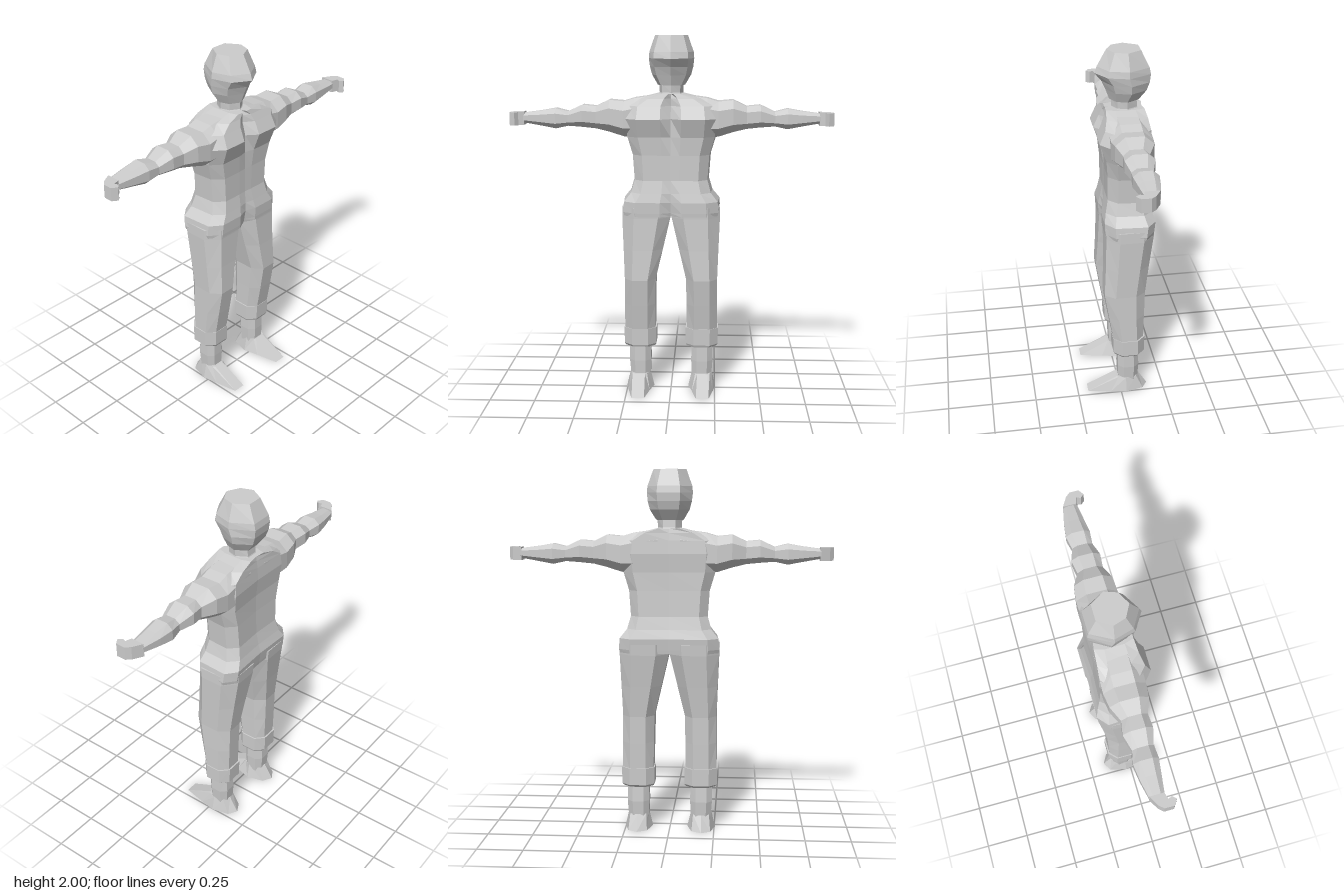
import * as THREE from 'three';

const grey = new THREE.MeshStandardMaterial({ color: 0xcccccc, flatShading: true });
grey.name = 'plain grey';

// Skin a closed surface through rings of [x, y, z] points, facing outward.
function loft(rings) {
  const n = rings[0].length, tris = [];
  const mid = (r) => [0, 1, 2].map((k) => r.reduce((s, p) => s + p[k], 0) / n);
  for (let i = 0; i < rings.length - 1; i++) {
    for (let j = 0; j < n; j++) {
      const k = (j + 1) % n;
      const a = rings[i][j], b = rings[i][k], c = rings[i + 1][k], d = rings[i + 1][j];
      tris.push([a, b, c], [a, c, d]);
    }
  }
  const first = rings[0], last = rings[rings.length - 1];
  for (let j = 0; j < n; j++) {
    const k = (j + 1) % n;
    tris.push([mid(first), first[k], first[j]], [mid(last), last[j], last[k]]);
  }
  let volume = 0;
  const v = () => new THREE.Vector3();
  for (const [a, b, c] of tris) volume += v().fromArray(a).dot(v().fromArray(b).cross(v().fromArray(c)));
  if (volume < 0) tris.forEach((t) => t.reverse());
  const geo = new THREE.BufferGeometry();
  geo.setAttribute('position', new THREE.Float32BufferAttribute(tris.flat(2), 3));
  geo.computeVertexNormals();
  return geo;
}

// Rectangle with cut corners between (a0, b0) and (a1, b1).
function cutBox(a0, a1, b0, b1, cut = 0.25) {
  const ca = (a1 - a0) * cut, cb = (b1 - b0) * cut;
  return [[a1, b0 + cb], [a1, b1 - cb], [a1 - ca, b1], [a0 + ca, b1],
    [a0, b1 - cb], [a0, b0 + cb], [a0 + ca, b0], [a1 - ca, b0]];
}

// Rows [y, x0, x1, z0, z1] become level rings.
const levelRings = (rows, cut) => rows.map(([y, x0, x1, z0, z1]) =>
  cutBox(x0, x1, z0, z1, cut).map(([x, z]) => [x, y, z]));

// Half outline [x, z] from front centre to back, mirrored over z = 0.
function symmetric(y, half) {
  const other = half.filter((p) => p[1] > 0).reverse().map(([x, z]) => [x, -z]);
  return [...half, ...other].map(([x, z]) => [x, y, z]);
}

export function createModel() {
  const model = new THREE.Group();
  const add = (name, rings) => {
    const mesh = new THREE.Mesh(loft(rings), grey);
    mesh.name = name;
    model.add(mesh);
  };
  const addPair = (name, rings) => {
    add(name + 'Left', rings);
    add(name + 'Right', rings.map((r) => r.map(([x, y, z]) => [x, y, -z])));
  };

  // Torso: [y, half width, front centre x, chest x, back x]
  add('torso', [
    [1.01, 0.27, 0.05, 0.08, -0.18],
    [1.03, 0.275, 0.055, 0.082, -0.183],
    [1.09, 0.27, 0.065, 0.085, -0.19],
    [1.14, 0.23, 0.065, 0.075, -0.175],
    [1.21, 0.21, 0.06, 0.062, -0.16],
    [1.35, 0.22, 0.06, 0.063, -0.155],
    [1.45, 0.25, 0.06, 0.072, -0.155],
    [1.55, 0.26, 0.06, 0.108, -0.165],
    [1.62, 0.25, 0.04, 0.078, -0.16],
    [1.66, 0.17, 0.04, 0.062, -0.155],
    [1.685, 0.07, 0.03, 0.055, -0.15],
  ].map(([y, w, centre, chest, back]) => symmetric(y, [
    [centre, 0], [chest, w * 0.22], [chest, w * 0.72], [chest - 0.05, w * 0.96],
    [back + 0.05, w], [back, w * 0.78], [back + 0.008, 0],
  ])));

  // Neck and head: [y, back x, front x, half width]
  const headRing = ([y, b, f, w]) => symmetric(y, [
    [f, 0], [b + (f - b) * 0.8, w * 0.75], [b + (f - b) * 0.42, w], [b, w * 0.5],
  ]);
  add('neck', [[1.66, -0.13, 0.04, 0.075], [1.69, -0.115, 0.02, 0.065],
    [1.74, -0.11, 0.02, 0.068]].map(headRing));
  add('head', [[1.73, -0.12, 0.03, 0.075], [1.785, -0.16, 0.05, 0.108],
    [1.83, -0.175, 0.07, 0.12], [1.875, -0.18, 0.107, 0.125],
    [1.91, -0.173, 0.095, 0.122], [2.0, -0.13, 0.045, 0.09]].map(headRing));

  // Arm: [z, x0, x1, y0, y1], stretched sideways with padded sleeves
  addPair('arm', [
    [0.06, -0.155, 0.06, 1.46, 1.68],
    [0.2, -0.16, 0.06, 1.445, 1.66],
    [0.26, -0.16, 0.06, 1.45, 1.642],
    [0.34, -0.15, 0.052, 1.475, 1.65],
    [0.415, -0.112, 0.025, 1.492, 1.615],
    [0.49, -0.125, 0.03, 1.5, 1.622],
    [0.57, -0.1, 0.01, 1.505, 1.585],
    [0.64, -0.115, 0.015, 1.49, 1.602],
    [0.72, -0.105, 0.005, 1.505, 1.588],
    [0.82, -0.085, -0.008, 1.522, 1.575],
  ].map(([z, x0, x1, y0, y1]) => cutBox(x0, x1, y0, y1).map(([x, y]) => [x, y, z])));

  // Hand curling forward, an outline seen from above
  const hand = [[-0.085, 0.815], [-0.055, 0.868], [-0.03, 0.89], [0.02, 0.89],
    [0.04, 0.86], [0.02, 0.842], [0, 0.85], [-0.01, 0.815]];
  addPair('hand', [1.51, 1.582].map((y) => hand.map(([x, z]) => [x, y, z])));

  // Trouser leg with bent knee
  addPair('trouserLeg', levelRings([
    [1.06, -0.187, 0.08, 0.001, 0.272],
    [1.0, -0.183, 0.078, 0.003, 0.273],
    [0.82, -0.158, 0.082, 0.045, 0.266],
    [0.65, -0.137, 0.09, 0.085, 0.26],
    [0.5, -0.133, 0.066, 0.088, 0.262],
    [0.34, -0.128, 0.038, 0.09, 0.262],
  ]));

  // Turned-up cuff
  addPair('trouserCuff', levelRings([
    [0.25, -0.125, 0.035, 0.09, 0.255],
    [0.262, -0.135, 0.04, 0.084, 0.266],
    [0.357, -0.137, 0.043, 0.083, 0.267],
  ]));

  // Ankle
  addPair('ankle', levelRings([
    [0.06, -0.1, 0.01, 0.12, 0.23],
    [0.16, -0.107, 0.014, 0.115, 0.238],
    [0.26, -0.1, 0.012, 0.117, 0.236],
  ]));

  // Pointed shoe: sole outline rising to the ankle
  const sole = [[0.19, 0.145], [0.19, 0.215], [0.06, 0.24], [-0.03, 0.255], [-0.13, 0.23],
    [-0.16, 0.18], [-0.13, 0.125], [-0.03, 0.098], [0.06, 0.12]];
  const top = [[0.02, 0.15], [0.02, 0.21], [0.012, 0.222], [-0.03, 0.235], [-0.09, 0.222],
    [-0.107, 0.178], [-0.09, 0.132], [-0.03, 0.118], [0.012, 0.138]];
  addPair('shoe', [sole.map(([x, z]) => [x, 0, z]), top.map(([x, z]) => [x, 0.085, z])]);

  return model;
}
